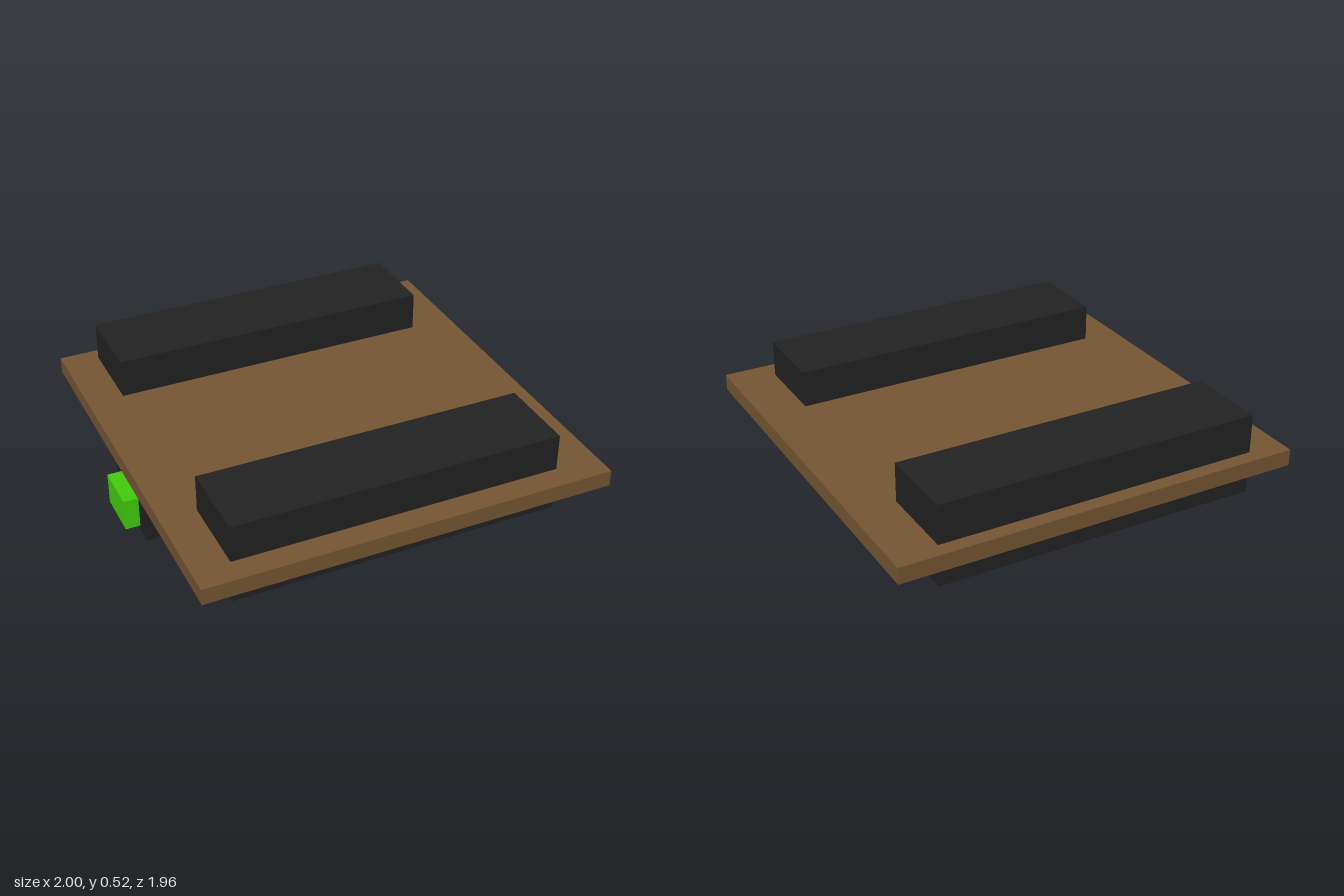
import * as THREE from 'three';

const material = (name, color) => {
  const m = new THREE.MeshStandardMaterial({ color });
  m.name = name;
  return m;
};

// Box given by its extents along each axis
function block(name, mat, [x0, x1], [y0, y1], [z0, z1]) {
  const mesh = new THREE.Mesh(new THREE.BoxGeometry(x1 - x0, y1 - y0, z1 - z0), mat);
  mesh.position.set((x0 + x1) / 2, (y0 + y1) / 2, (z0 + z1) / 2);
  mesh.name = name;
  return mesh;
}

export function createModel() {
  const brown = material('brown', 0x755634);
  const black = material('black', 0x222222);
  const green = material('green', 0x44cc0e);

  const model = new THREE.Group();
  model.name = 'boardWithBars';
  model.add(
    // Flat square board
    block('board', brown, [-0.957, 1], [0.253, 0.332], [-0.978, 0.978]),
    // Long bars passing through the board
    block('frontBar', black, [-0.783, 0.785], [0.12, 0.51], [0.475, 0.862]),
    block('backBar', black, [-0.783, 0.785], [0.13, 0.52], [-0.907, -0.518]),
    // Small housing under the right edge, with its button
    block('housing', black, [-0.93, -0.7], [0, 0.235], [-0.21, 0.182]),
    block('button', green, [-1, -0.92], [0.03, 0.185], [-0.132, 0.1])
  );
  return model;
}
